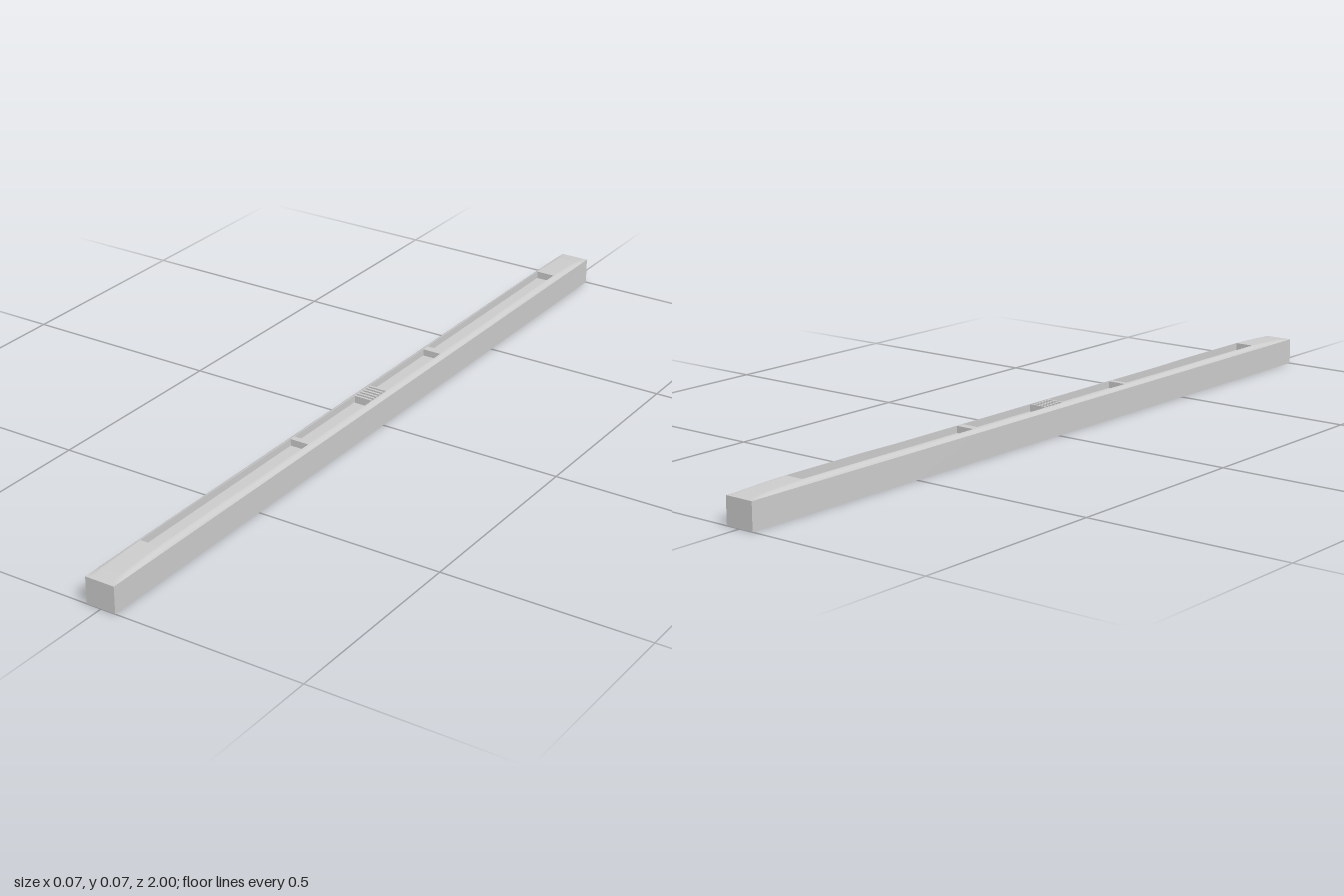
import * as THREE from 'three';

const W = 0.037, SLOT = 0.024, EDGE = 0.065, FLOOR = 0.056;
const slots = [[-0.84, -0.295], [-0.275, 0.275], [0.29, 0.835]];

// crowned top: low at the rim and the ends, flat across the middle
function crown(x, z) {
  const a = Math.abs(z), u = Math.max(0, (Math.abs(x) - SLOT) / (W - SLOT));
  let lift = 0.0075;
  if (a > 0.84) lift = 0.009 * Math.sqrt(Math.max(0, (1 - a) / 0.16));
  else if (a > 0.55) lift = 0.009;
  return EDGE + lift * (1 - u * u);
}

function bodyGeometry() {
  const pos = [];
  // corners counter-clockwise seen from the outside
  const quad = (a, b, c, d) => pos.push(...a, ...b, ...c, ...a, ...c, ...d);
  const top = (x, z) => [x, crown(x, z), z];
  const low = (x, z, y) => [x, y, z];
  const xs = [-W, -0.034, -0.029, -SLOT, SLOT, 0.029, 0.034, W];
  const zs = [-1, -0.96, -0.92, -0.88, -0.84, -0.6, -0.5, -0.295, -0.275,
    0.275, 0.29, 0.5, 0.6, 0.835, 0.88, 0.92, 0.96, 1];

  for (let j = 0; j < zs.length - 1; j++) {
    const z0 = zs[j], z1 = zs[j + 1], mid = (z0 + z1) / 2;
    const open = slots.some(([a, b]) => mid > a && mid < b);
    for (let i = 0; i < xs.length - 1; i++) {
      const x0 = xs[i], x1 = xs[i + 1];
      if (open && i === 3) {
        // slot floor and long inner walls
        quad(low(x0, z0, FLOOR), low(x0, z1, FLOOR), low(x1, z1, FLOOR), low(x1, z0, FLOOR));
        quad(low(x0, z1, FLOOR), low(x0, z0, FLOOR), top(x0, z0), top(x0, z1));
        quad(low(x1, z0, FLOOR), low(x1, z1, FLOOR), top(x1, z1), top(x1, z0));
      } else quad(top(x0, z0), top(x0, z1), top(x1, z1), top(x1, z0));
    }
    // outer sides
    quad(low(W, z1, 0), low(W, z0, 0), top(W, z0), top(W, z1));
    quad(low(-W, z0, 0), low(-W, z1, 0), top(-W, z1), top(-W, z0));
  }
  // slot end walls
  for (const [a, b] of slots) {
    quad(low(-SLOT, a, FLOOR), low(SLOT, a, FLOOR), top(SLOT, a), top(-SLOT, a));
    quad(low(SLOT, b, FLOOR), low(-SLOT, b, FLOOR), top(-SLOT, b), top(SLOT, b));
  }
  // bar ends and underside
  quad(low(-W, 1, 0), low(W, 1, 0), low(W, 1, EDGE), low(-W, 1, EDGE));
  quad(low(W, -1, 0), low(-W, -1, 0), low(-W, -1, EDGE), low(W, -1, EDGE));
  quad(low(-W, -1, 0), low(W, -1, 0), low(W, 1, 0), low(-W, 1, 0));

  const g = new THREE.BufferGeometry();
  g.setAttribute('position', new THREE.Float32BufferAttribute(pos, 3));
  g.computeVertexNormals();
  return g;
}

export function createModel() {
  const model = new THREE.Group();
  model.name = 'slottedBar';
  const grey = new THREE.MeshStandardMaterial({ color: 0xcccccc, flatShading: true });

  const body = new THREE.Mesh(bodyGeometry(), grey);
  body.name = 'barBody';
  model.add(body);

  // ribbed block in the middle of the central slot
  const grip = new THREE.Group();
  grip.name = 'ribbedGrip';
  const addBox = (name, w, h, d, z) => {
    const m = new THREE.Mesh(new THREE.BoxGeometry(w, h, d), grey);
    m.name = name;
    m.position.set(0, FLOOR + h / 2, z);
    grip.add(m);
  };
  addBox('gripBase', 0.044, 0.012, 0.066, 0);
  for (let i = 0; i < 6; i++) addBox('gripRib', 0.044, 0.018, 0.006, -0.03 + i * 0.012);
  grip.position.z = -0.002;
  model.add(grip);

  return model;
}
